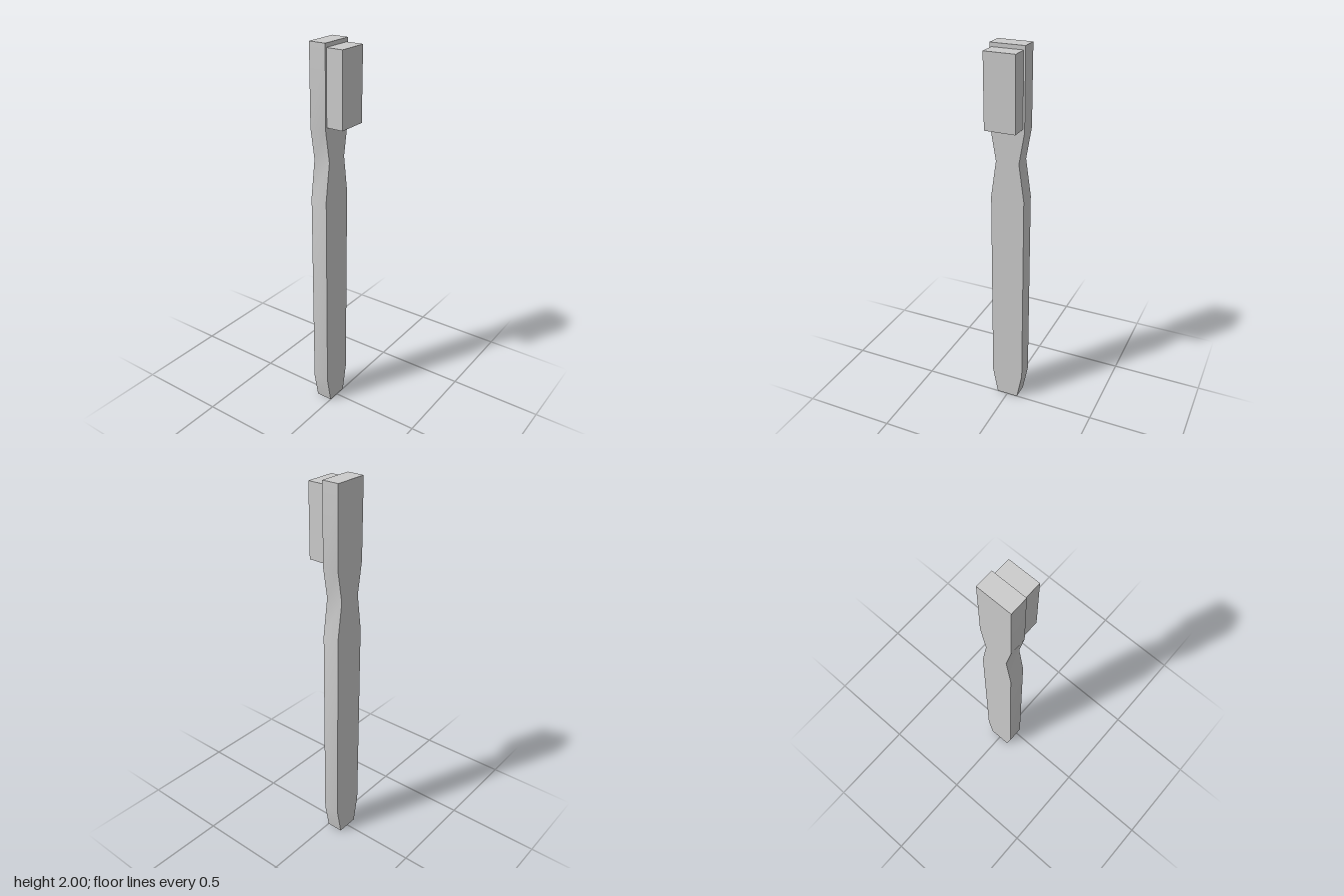
import * as THREE from 'three';
import { toCreasedNormals } from 'three/addons/utils/BufferGeometryUtils.js';

export function createModel() {
  const group = new THREE.Group();
  const material = new THREE.MeshStandardMaterial({ color: 0xcccccc });

  // Handle: half-width against height, mirrored into a closed outline
  const half = [[0.06, 0], [0.089, 0.15], [0.089, 1.235], [0.061, 1.43], [0.089, 1.595], [0.089, 2]];
  const outline = [
    ...half.map(([w, y]) => new THREE.Vector2(w, y)),
    ...half.map(([w, y]) => new THREE.Vector2(-w, y)).reverse(),
  ];
  const handleGeometry = new THREE.ExtrudeGeometry(new THREE.Shape(outline), { depth: 0.09, bevelEnabled: false });
  handleGeometry.rotateY(-Math.PI / 2); // thickness runs from x = 0 to x = -0.09
  const handle = new THREE.Mesh(toCreasedNormals(handleGeometry, Math.PI / 6), material);
  handle.name = 'handle';
  group.add(handle);

  // Bristle block on the head
  const bristles = new THREE.Mesh(new THREE.BoxGeometry(0.089, 0.37, 0.16), material);
  bristles.name = 'bristles';
  bristles.position.set(0.0445, 1.795, 0);
  group.add(bristles);

  return group;
}
